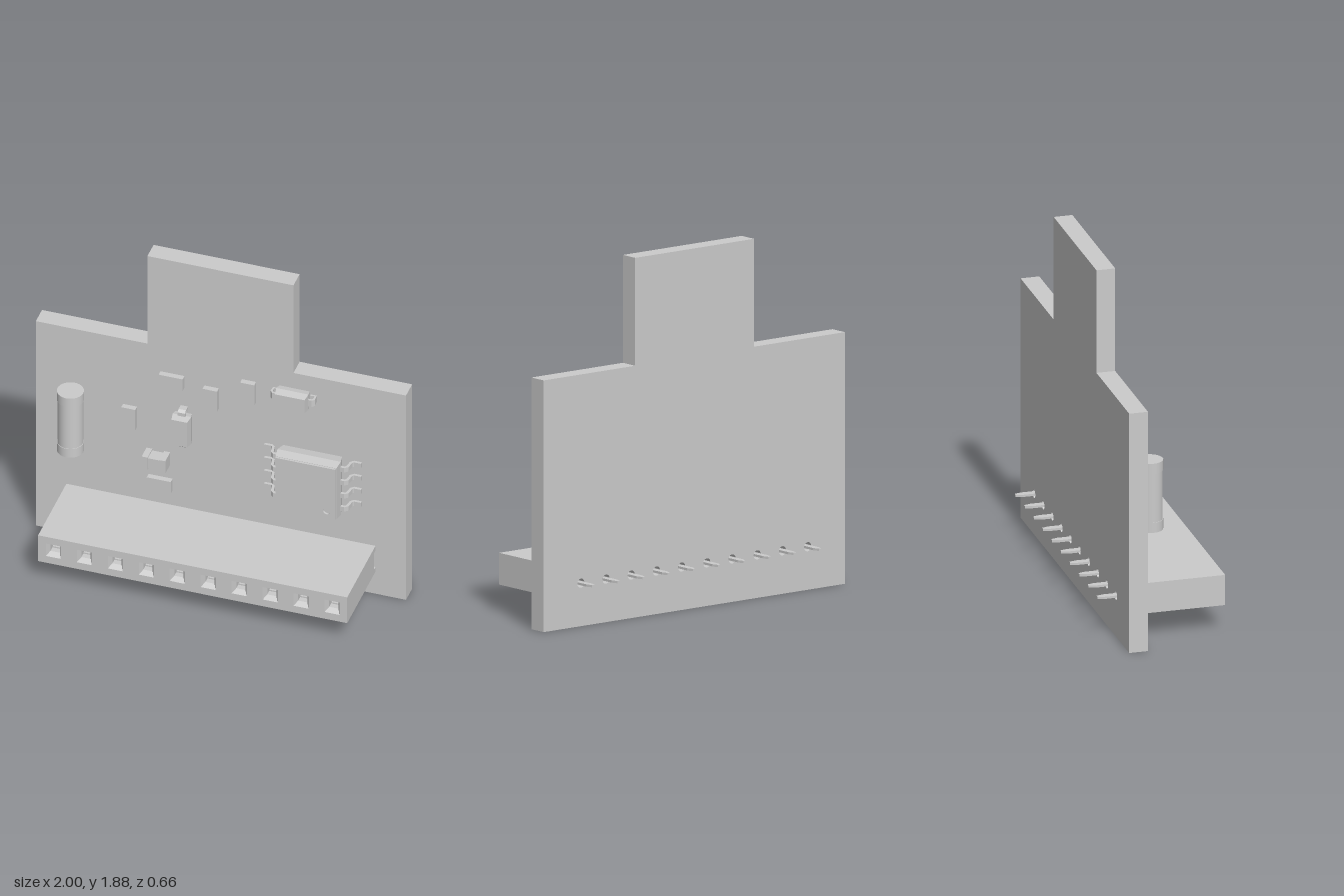
import * as THREE from 'three';

const grey = new THREE.MeshStandardMaterial({ color: 0xcccccc, flatShading: true });
const smooth = new THREE.MeshStandardMaterial({ color: 0xcccccc });
const open = new THREE.MeshStandardMaterial({ color: 0xcccccc, flatShading: true, side: THREE.DoubleSide });
const FACE = -0.13, BACK = -0.23; // board surfaces in z

function add(parent, name, geometry, x = 0, y = 0, z = 0, material = grey) {
  const mesh = new THREE.Mesh(geometry, material);
  mesh.name = name;
  mesh.position.set(x, y, z);
  parent.add(mesh);
  return mesh;
}

function group(parent, name, x = 0, y = 0, z = 0) {
  const g = new THREE.Group();
  g.name = name;
  g.position.set(x, y, z);
  parent.add(g);
  return g;
}

const polygon = (pts) => new THREE.Shape(pts.map(([x, y]) => new THREE.Vector2(x, y)));
const rectPoints = (x, y, hw, hh) => [[x - hw, y - hh], [x + hw, y - hh], [x + hw, y + hh], [x - hw, y + hh]];
const extrude = (shape, depth) =>
  new THREE.ExtrudeGeometry(shape, { depth, bevelEnabled: false, curveSegments: 12 });

function circleHole(shape, x, y, r) {
  shape.holes.push(new THREE.Path().absarc(x, y, r, 0, Math.PI * 2, true));
}

// Box along z from z0 to z1 whose back and front rectangles differ by an inset
function taper(w, h, z0, z1, backInset, frontInset) {
  const g = new THREE.BoxGeometry(w, h, z1 - z0);
  const p = g.attributes.position;
  for (let i = 0; i < p.count; i++) {
    const inset = p.getZ(i) < 0 ? backInset : frontInset;
    p.setX(i, p.getX(i) - Math.sign(p.getX(i)) * inset);
    p.setY(i, p.getY(i) - Math.sign(p.getY(i)) * inset);
  }
  g.translate(0, 0, (z0 + z1) / 2);
  g.computeVertexNormals();
  return g;
}

// Bent strip lead running outward along +x; points are its [x, z] centre line
function strip(points, thick, width) {
  const left = [], right = [];
  points.forEach(([x, z], i) => {
    const a = points[Math.max(i - 1, 0)], b = points[Math.min(i + 1, points.length - 1)];
    const l = Math.hypot(b[0] - a[0], b[1] - a[1]);
    const nx = -(b[1] - a[1]) / l * thick / 2, nz = (b[0] - a[0]) / l * thick / 2;
    left.push([x + nx, z + nz]);
    right.unshift([x - nx, z - nz]);
  });
  return extrude(polygon([...left, ...right]), width).translate(0, 0, -width / 2).rotateX(Math.PI / 2);
}

// Moulded two-lead diode lying along x
function diode(parent, name, x, y, turn) {
  const g = group(parent, name, x, y, 0);
  g.rotation.z = turn;
  add(g, 'lowerBody', taper(0.175, 0.1, -0.122, -0.088, 0.006, 0));
  add(g, 'upperBody', taper(0.175, 0.1, -0.088, -0.045, 0, 0.008));
  for (const side of [0, Math.PI]) {
    const lead = add(g, 'lead', strip([[0.08, -0.086], [0.105, -0.086], [0.114, -0.095],
      [0.114, -0.125], [0.085, -0.125]], 0.012, 0.04));
    lead.rotation.z = side;
  }
}

// Eight-lead chip with chamfered body and a pin-one dimple
function chip(parent, x, y) {
  const g = group(parent, 'chip', x, y, 0);
  add(g, 'lowerBody', taper(0.342, 0.342, -0.118, -0.06, 0.012, 0));
  add(g, 'upperBody', taper(0.342, 0.342, -0.06, -0.008, 0, 0.007));
  const lid = polygon(rectPoints(0, 0, 0.162, 0.162));
  circleHole(lid, 0.115, -0.115, 0.02);
  add(g, 'lid', extrude(lid, 0.011), 0, 0, -0.008);
  for (let i = 0; i < 4; i++) {
    for (const side of [0, Math.PI]) {
      const lead = add(g, 'lead', strip([[0.16, -0.06], [0.19, -0.06], [0.203, -0.07],
        [0.21, -0.11], [0.222, -0.122], [0.262, -0.122]], 0.015, 0.028), 0, -0.126 + i * 0.084);
      lead.rotation.z = side;
    }
  }
}

// Surface-mount block with end terminals at both ends of its long side
function smallBlock(parent, x, y, w, h, top) {
  const g = group(parent, 'smallComponent', x, y, 0);
  const depth = top - FACE, cap = 0.02, wide = w > h;
  add(g, 'body', new THREE.BoxGeometry(wide ? w - cap : w, wide ? h : h - cap, depth), 0, 0, FACE + depth / 2);
  for (const s of [-1, 1]) {
    add(g, 'terminal', new THREE.BoxGeometry(wide ? cap : w, wide ? h : cap, depth),
      wide ? s * (w - cap) / 2 : 0, wide ? 0 : s * (h - cap) / 2, FACE + depth / 2);
  }
}

// Socket strip with funnelled openings, spring contacts and pins through the board
function header(parent, xs, y) {
  const g = group(parent, 'socketHeader', 0, y, 0);
  const W = 0.835, H = 0.083;
  const layer = (name, half, z0, z1) => {
    const s = polygon(rectPoints(0, 0, W, H));
    if (half) xs.forEach((x) => s.holes.push(polygon(rectPoints(x, 0, half, half).reverse())));
    add(g, name, extrude(s, z1 - z0), 0, 0, z0);
  };
  layer('rearBlock', 0, -0.11, 0.1);
  layer('socketBlock', 0.025, 0.1, 0.3);
  layer('frontRim', 0.04, 0.3, 0.33);
  for (const s of [-1, 1]) {
    add(g, 'standoffRail', new THREE.BoxGeometry(2 * W, 0.03, 0.02), 0, s * (H - 0.015), -0.12);
  }
  const funnel = new THREE.CylinderGeometry(0.04 * Math.SQRT2, 0.025 * Math.SQRT2, 0.03, 4, 1, true)
    .rotateY(Math.PI / 4).rotateX(Math.PI / 2);
  const pin = extrude(polygon([[-0.018, -0.11], [-0.018, -0.295], [-0.008, -0.33],
    [0.008, -0.33], [0.018, -0.295], [0.018, -0.11]]), 0.012).translate(0, 0, -0.006).rotateX(Math.PI / 2);
  xs.forEach((x) => {
    add(g, 'socketFunnel', funnel, x, 0, 0.315, open);
    for (const s of [-1, 1]) add(g, 'contact', new THREE.BoxGeometry(0.04, 0.008, 0.18), x, s * 0.012, 0.19);
    add(g, 'pin', pin, x, 0, 0);
  });
}

export function createModel() {
  const model = new THREE.Group();
  model.name = 'circuitBoard';
  const xs = Array.from({ length: 10 }, (_, i) => -0.753 + i * 0.1673);
  const pinY = 0.225;

  // Board with raised tab and pin holes
  const outline = polygon([[-1, 0], [1, 0], [1, 1.316], [0.392, 1.316], [0.392, 1.88],
    [-0.397, 1.88], [-0.397, 1.316], [-1, 1.316]]);
  xs.forEach((x) => circleHole(outline, x, pinY, 0.024));
  add(model, 'board', extrude(outline, FACE - BACK), 0, 0, BACK);

  header(model, xs, pinY);

  // Cylindrical diode with metal end caps
  const tube = group(model, 'cylinderDiode', -0.79, 0.78, -0.06);
  add(tube, 'glassBody', new THREE.CylinderGeometry(0.067, 0.067, 0.3, 32), 0, 0, 0, smooth);
  for (const s of [-1, 1]) add(tube, 'endCap', new THREE.CylinderGeometry(0.07, 0.07, 0.055, 32), 0, s * 0.1625, 0, smooth);

  // Small flat parts
  for (const [x, y, w, h] of [[-0.262, 1.117, 0.13, 0.075], [-0.05, 1.055, 0.078, 0.13],
    [0.152, 1.143, 0.076, 0.132], [-0.491, 0.831, 0.076, 0.13], [-0.326, 0.44, 0.13, 0.076]]) {
    smallBlock(model, x, y, w, h, -0.1);
  }

  // Taller capacitor with a narrower waist
  const cap = group(model, 'capacitor', -0.338, 0.605, 0);
  add(cap, 'body', new THREE.BoxGeometry(0.07, 0.066, 0.07), 0, 0, -0.09);
  for (const s of [-1, 1]) add(cap, 'terminal', new THREE.BoxGeometry(0.032, 0.08, 0.08), s * 0.048, 0, -0.09);

  diode(model, 'horizontalDiode', 0.4, 1.18, 0);
  diode(model, 'verticalDiode', -0.197, 0.845, Math.PI / 2);
  chip(model, 0.5, 0.69);
  return model;
}
